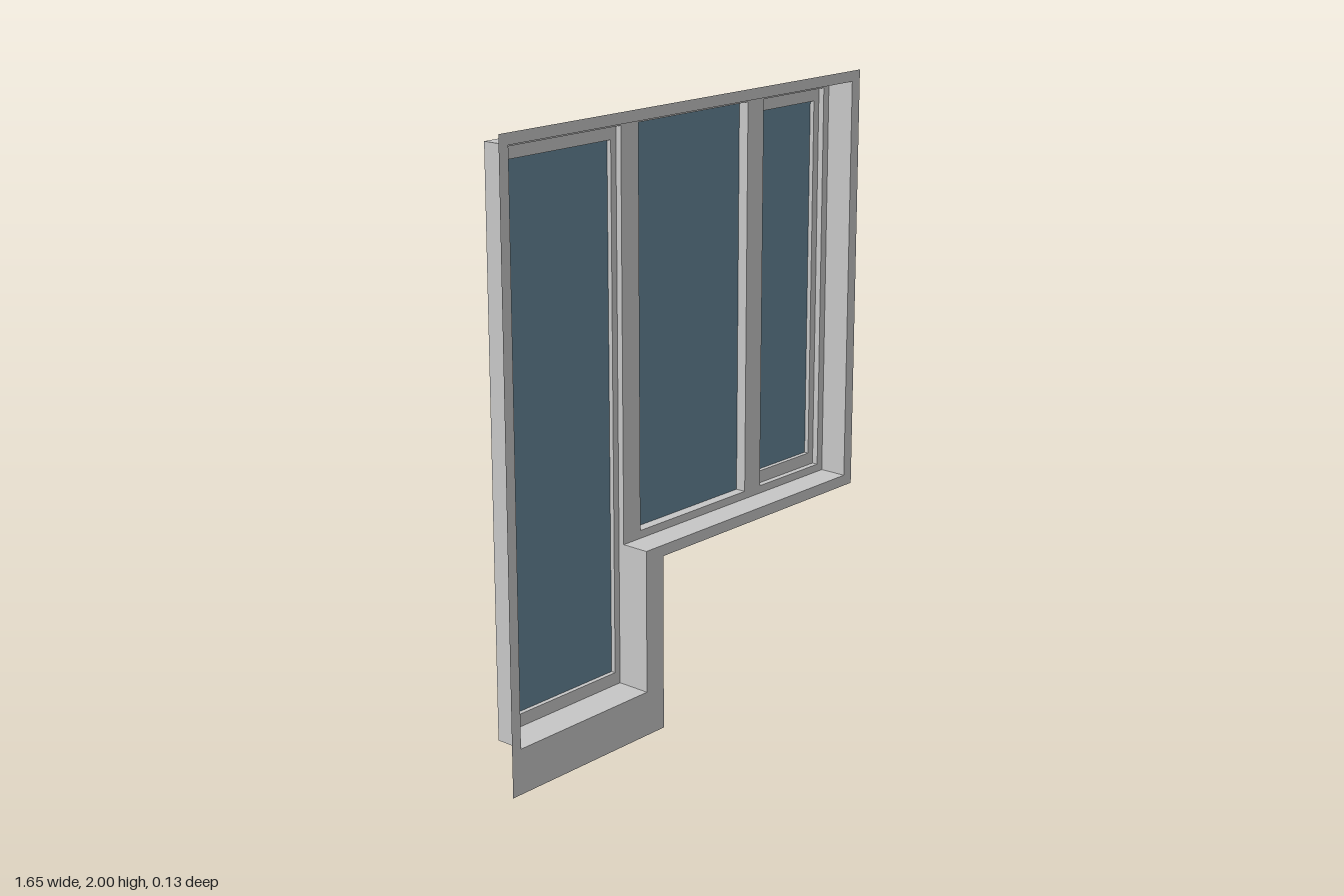
import * as THREE from 'three';

const frameMat = new THREE.MeshStandardMaterial({ color: 0xc8c8c8, side: THREE.DoubleSide });
frameMat.name = 'grey frame';
const glassMat = new THREE.MeshStandardMaterial({ color: 0x658699, side: THREE.DoubleSide });
glassMat.name = 'blue glass';

// Depth planes, from the room side to the outer pane
const Z = { trim: 0.065, plate: -0.03, sash: -0.05, glass: -0.065 };

const rect = (x0, x1, y0, y1) => [[x0, y0], [x1, y0], [x1, y1], [x0, y1]];
const toVectors = (pts) => pts.map(([x, y]) => new THREE.Vector2(x, y));

// Flat sheet with optional holes, at depth z
function sheet(name, outline, holes, z, material) {
  const shape = new THREE.Shape(toVectors(outline));
  holes.forEach((h) => shape.holes.push(new THREE.Path(toVectors(h))));
  const mesh = new THREE.Mesh(new THREE.ShapeGeometry(shape), material);
  mesh.position.z = z;
  mesh.name = name;
  return mesh;
}

// Open band of walls following a closed outline between two depths
function walls(name, outline, zFront, zBack) {
  const pos = [];
  outline.forEach(([ax, ay], i) => {
    const [bx, by] = outline[(i + 1) % outline.length];
    pos.push(ax, ay, zBack, bx, by, zBack, bx, by, zFront);
    pos.push(ax, ay, zBack, bx, by, zFront, ax, ay, zFront);
  });
  const geo = new THREE.BufferGeometry();
  geo.setAttribute('position', new THREE.Float32BufferAttribute(pos, 3));
  geo.computeVertexNormals();
  const mesh = new THREE.Mesh(geo, frameMat);
  mesh.name = name;
  return mesh;
}

// Opening sash: stepped frame around a raised pane
function sash(name, outer, pane) {
  const g = new THREE.Group();
  g.name = name;
  g.add(
    walls(name + 'OuterEdge', outer, Z.plate, Z.sash),
    sheet(name + 'Face', outer, [pane], Z.sash, frameMat),
    walls(name + 'PaneEdge', pane, Z.sash, Z.glass),
    sheet(name + 'Glass', pane, [], Z.glass, glassMat),
  );
  return g;
}

export function createModel() {
  const model = new THREE.Group();
  model.name = 'doorAndWindowUnit';

  // Front trim and the deep reveal behind it
  const trim = [[-0.825, 0], [-0.145, 0], [-0.145, 0.583], [0.825, 0.583], [0.825, 2], [-0.825, 2]];
  const reveal = [[-0.788, 0.148], [-0.225, 0.148], [-0.225, 0.62], [0.785, 0.62], [0.785, 1.965], [-0.788, 1.965]];
  model.add(sheet('frontTrim', trim, [reveal], Z.trim, frameMat));
  model.add(walls('reveal', reveal, Z.trim, Z.plate));

  // Frame plate: the door opening is a notch, the two windows are holes
  const door = rect(-0.762, -0.225, 0.148, 1.938);
  const fixedPane = rect(-0.147, 0.368, 0.646, 1.938);
  const sideWindow = rect(0.447, 0.758, 0.646, 1.938);
  const plate = [[-0.788, 0.148], [-0.762, 0.148], [-0.762, 1.938], [-0.225, 1.938],
    [-0.225, 0.62], [0.785, 0.62], [0.785, 1.965], [-0.788, 1.965]];
  model.add(sheet('framePlate', plate, [fixedPane, sideWindow], Z.plate, frameMat));

  // Door leaf and side window
  model.add(sash('door', door, rect(-0.737, -0.248, 0.19, 1.896)));
  model.add(sash('sideWindow', sideWindow, rect(0.47, 0.732, 0.688, 1.896)));

  // Fixed middle pane
  model.add(walls('fixedPaneEdge', fixedPane, Z.plate, Z.glass));
  model.add(sheet('fixedPaneGlass', fixedPane, [], Z.glass, glassMat));

  return model;
}
